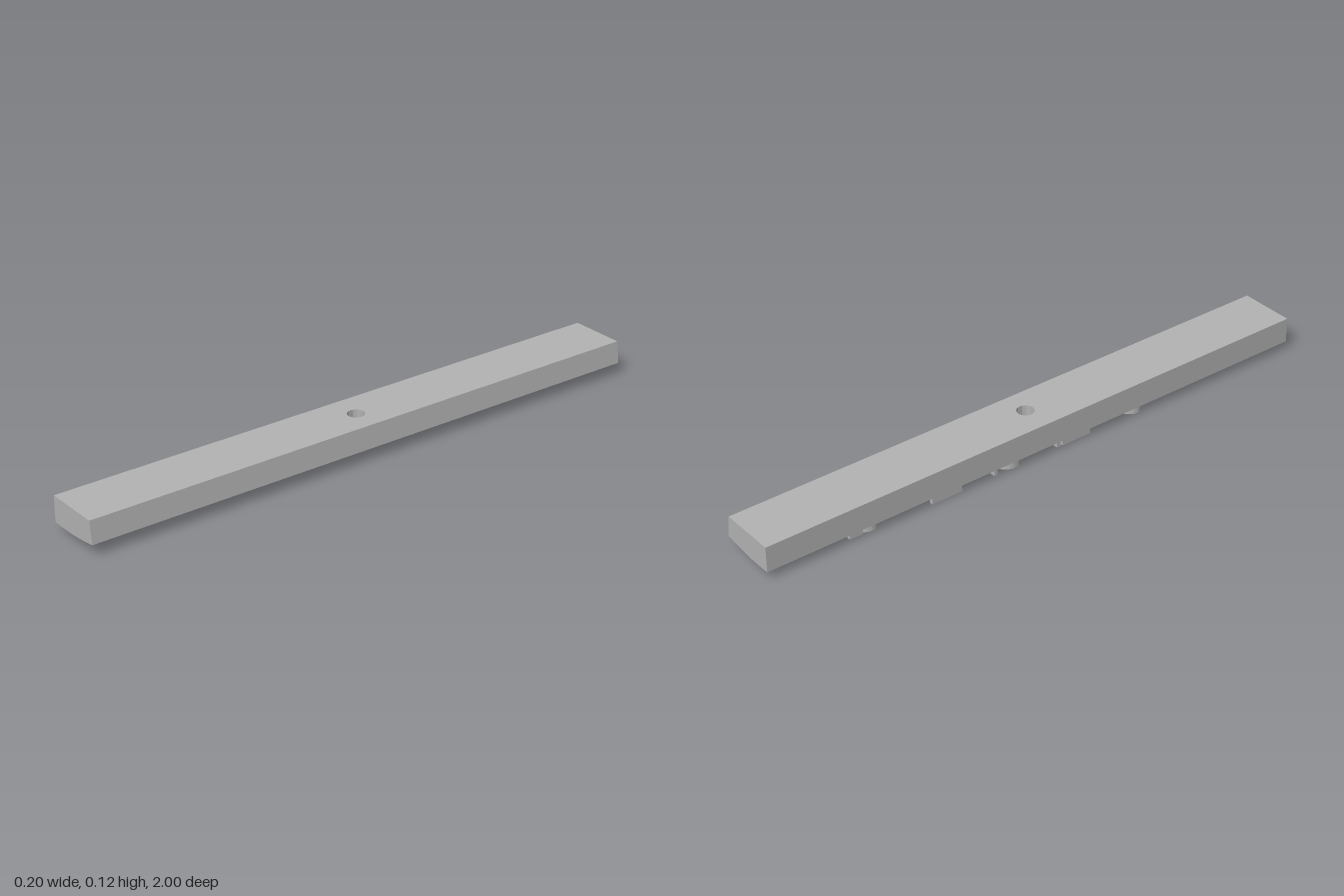
import * as THREE from 'three';
import { toCreasedNormals } from 'three/addons/utils/BufferGeometryUtils.js';

const TOP = 0.115, DROP = 0.028, HOLE_R = 0.028, MID = 0.035;

// Height of the gently bowed underside at a given x
const under = (x) => 0.028 + 0.62 * (x + 0.05) ** 2;

// Extrude a plan shape (x, -z) upwards by one unit, then remap every vertex
function extrudePlan(shape, remap) {
  const g = new THREE.ExtrudeGeometry(shape, { depth: 1, bevelEnabled: false, curveSegments: 24 });
  g.rotateX(-Math.PI / 2);
  const p = g.attributes.position;
  for (let i = 0; i < p.count; i++) {
    const [x, y] = remap(p.getX(i), p.getY(i));
    p.setXY(i, x, y);
  }
  return toCreasedNormals(g, 0.6);
}

function rectShape(x, z, w, l) {
  const s = new THREE.Shape();
  s.moveTo(x - w / 2, -z - l / 2);
  s.lineTo(x + w / 2, -z - l / 2);
  s.lineTo(x + w / 2, -z + l / 2);
  s.lineTo(x - w / 2, -z + l / 2);
  s.closePath();
  return s;
}

function ringShape(x, z, r, wall) {
  const s = new THREE.Shape().absarc(x, -z, r, 0, Math.PI * 2);
  s.holes.push(new THREE.Path().absarc(x, -z, r - wall, 0, Math.PI * 2, true));
  return s;
}

function halfRingShape(x, z, r, wall) {
  const s = new THREE.Shape();
  s.absarc(x, -z, r, 0, Math.PI, false);
  s.absarc(x, -z, r - wall, Math.PI, 0, true);
  s.closePath();
  return s;
}

export function createModel() {
  const group = new THREE.Group();
  const grey = new THREE.MeshStandardMaterial({ color: 0xb3b3b3 });
  grey.name = 'plain grey';
  const add = (name, geometry) => {
    const mesh = new THREE.Mesh(geometry, grey);
    mesh.name = name;
    group.add(mesh);
    return mesh;
  };

  // Samples across the width, shared by all three bar sections
  const xs = Array.from({ length: 17 }, (_, i) => -0.1 + (0.2 * i) / 16);

  // Two long sections either side of the hole
  const profile = new THREE.Shape();
  profile.moveTo(0.09, TOP);
  profile.lineTo(-0.1, TOP);
  xs.forEach((x) => profile.lineTo(x, under(x)));
  profile.closePath();
  for (const z of [-1, MID]) {
    const g = new THREE.ExtrudeGeometry(profile, { depth: 1 - MID, bevelEnabled: false });
    g.translate(0, 0, z);
    add(z < 0 ? 'backBar' : 'frontBar', toCreasedNormals(g, 0.1));
  }

  // Short middle section pierced by the round hole
  const plan = new THREE.Shape();
  xs.forEach((x, i) => (i ? plan.lineTo(x, -MID) : plan.moveTo(x, -MID)));
  [...xs].reverse().forEach((x) => plan.lineTo(x, MID));
  plan.closePath();
  plan.holes.push(new THREE.Path().absarc(0, 0, HOLE_R, 0, Math.PI * 2, true));
  add('middleBar', extrudePlan(plan, (x, y) =>
    y > 0.5 ? [x > 0.05 ? 0.05 + (x - 0.05) * 0.8 : x, TOP] : [x, under(x)]));

  // Raised ribs, rings and studs that follow the bowed underside
  const raise = (name, shape) =>
    add(name, extrudePlan(shape, (x, y) => [x, under(x) + (y > 0.5 ? 0.004 : -DROP)]));

  // x, z, radius
  [[-0.05, 0.375, 0.04], [-0.045, -0.11, 0.047], [-0.045, -0.63, 0.043]]
    .forEach(([x, z, r]) => raise('ring', ringShape(x, z, r, 0.014)));
  raise('smallStud', ringShape(0, 0.92, 0.017, 0.009));
  raise('smallArc', halfRingShape(0, -0.927, 0.023, 0.01));

  // x, z, width, length
  [
    [0.005, 0.365, 0.012, 0.14],
    [-0.08, 0.13, 0.012, 0.11],
    [-0.084, -0.365, 0.012, 0.11],
    [-0.078, -0.687, 0.012, 0.045],
  ].forEach((r) => raise('longRib', rectShape(...r)));
  [
    [0.002, 0.67, 0.06, 0.012],
    [-0.06, 0.062, 0.05, 0.014],
    [-0.008, -0.155, 0.035, 0.012],
    [-0.078, -0.183, 0.022, 0.01],
  ].forEach((r) => raise('crossRib', rectShape(...r)));

  return group;
}
